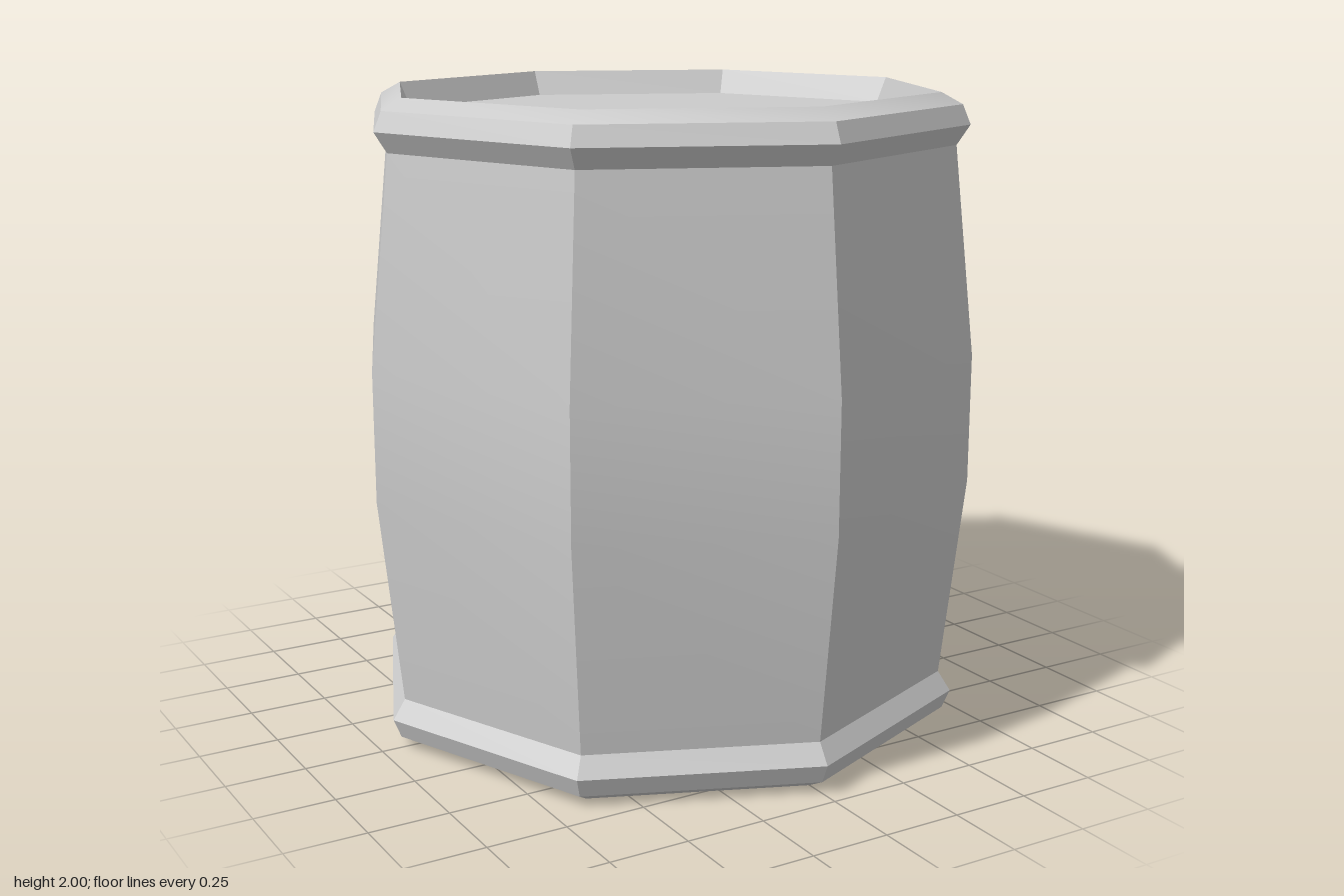
import * as THREE from 'three';
import { toCreasedNormals } from 'three/addons/utils/BufferGeometryUtils.js';

const SIDES = 8;
const HEIGHT = 2;
const HEAD_RADIUS = 0.835;
const HEAD_DEPTH = 0.08;

export function createModel() {
  const group = new THREE.Group();
  group.name = 'barrel';
  const material = new THREE.MeshStandardMaterial({ color: 0xcccccc });

  const add = (name, geometry) => {
    const mesh = new THREE.Mesh(geometry, material);
    mesh.name = name;
    group.add(mesh);
    return mesh;
  };

  // Eight-sided turned shell: sharp between staves, smooth along the bulge
  const turned = (profile) => toCreasedNormals(
    new THREE.LatheGeometry(profile.map(([r, y]) => new THREE.Vector2(r, y)), SIDES), 0.45);

  // Bulging staves
  add('staves', turned([[0.92, 0.157], [0.99, 0.8], [0.99, 1.2], [0.92, 1.843]]));

  // Rim profile, from the recessed head outwards and up to the staves
  const rim = [
    [HEAD_RADIUS, HEAD_DEPTH], [0.87, 0], [0.935, 0.035], [0.96, 0.095], [0.92, 0.157],
  ];
  add('bottomRim', turned(rim));
  add('topRim', turned(rim.map(([r, y]) => [r, HEIGHT - y]).reverse()));

  // Flat heads set inside the rims
  const head = (name, y, tilt) => {
    const mesh = add(name, new THREE.CircleGeometry(HEAD_RADIUS, SIDES));
    mesh.rotation.x = tilt;
    mesh.position.y = y;
  };
  head('bottomHead', HEAD_DEPTH, Math.PI / 2);
  head('topHead', HEIGHT - HEAD_DEPTH, -Math.PI / 2);

  return group;
}
